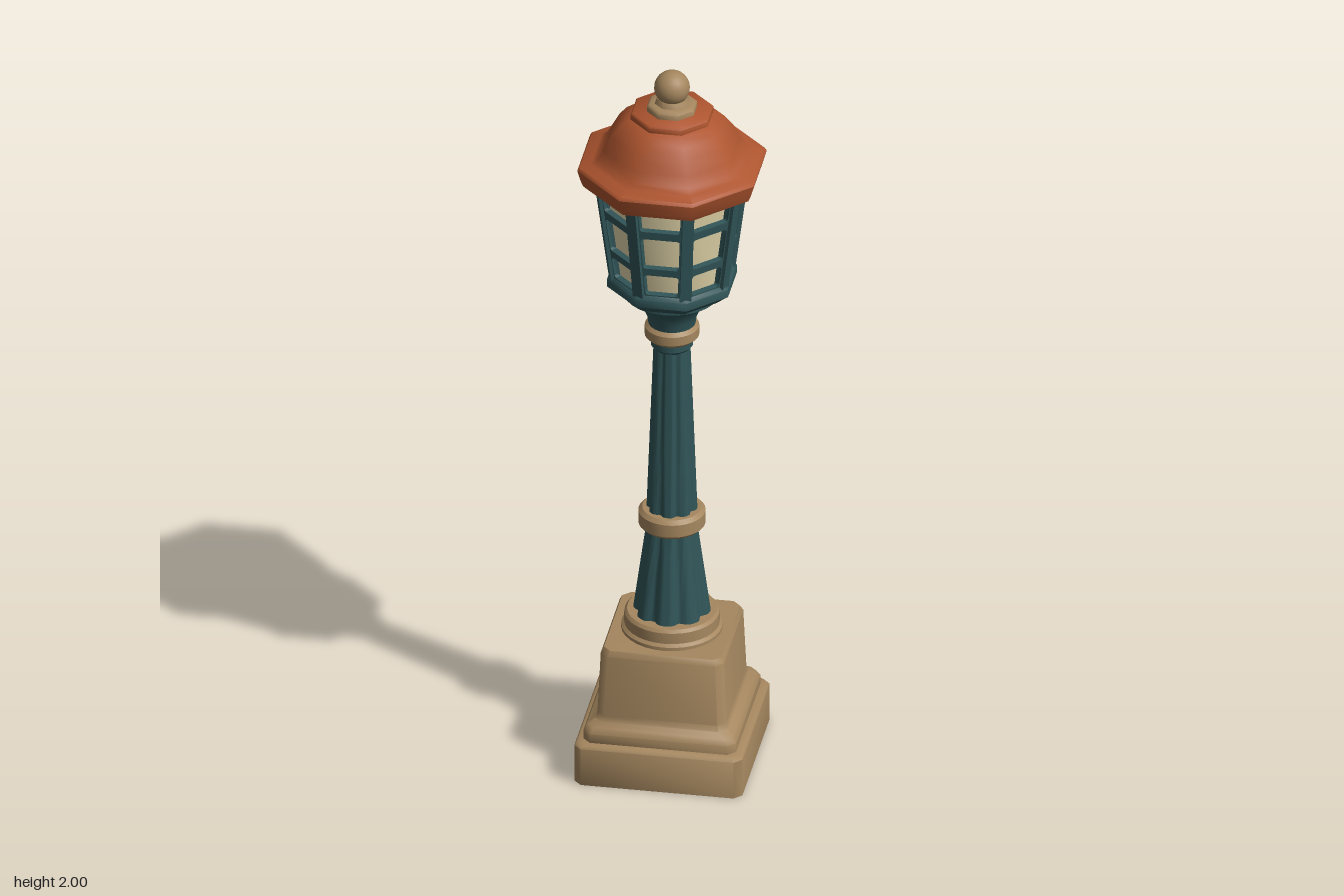
import * as THREE from 'three';
import { toCreasedNormals } from 'three/addons/utils/BufferGeometryUtils.js';

const FLAT = Math.cos(Math.PI / 8); // apothem / radius of an octagon

export function createModel() {
  const model = new THREE.Group();
  model.name = 'streetLamp';
  const mat = (name, color) => {
    const m = new THREE.MeshStandardMaterial({ color });
    m.name = name;
    return m;
  };
  const stone = mat('sandstone', 0xa5875f);
  const iron = mat('darkTealIron', 0x315558);
  const clay = mat('terracottaRoof', 0xae552f);
  const glass = mat('creamGlass', 0xe3d6aa);

  const add = (name, geo, material, parent = model) => {
    const mesh = new THREE.Mesh(geo, material);
    mesh.name = name;
    parent.add(mesh);
    return mesh;
  };
  // Profiles are [radius, y] pairs, from bottom to top
  const points = (profile, k = 1) => profile.map(([r, y]) => new THREE.Vector2(r * k, y));
  const round = (profile) => toCreasedNormals(new THREE.LatheGeometry(points(profile), 32), 0.7);
  const octagon = (profile) =>
    toCreasedNormals(new THREE.LatheGeometry(points(profile, 1 / FLAT), 8, Math.PI / 8), 0.82);

  // Square section with small chamfered corners, made from an octagonal lathe
  const square = (profile, chamfer) => {
    const geo = new THREE.LatheGeometry(points(profile, 1 / FLAT), 8, Math.PI / 8);
    const p = geo.attributes.position;
    for (let i = 0; i < p.count; i++) {
      const x = p.getX(i), z = p.getZ(i);
      const h = Math.max(Math.abs(x), Math.abs(z));
      if (h < 0.01) continue;
      const wide = Math.abs(x) > Math.abs(z);
      p.setX(i, Math.sign(x) * (wide ? h : h - chamfer));
      p.setZ(i, Math.sign(z) * (wide ? h - chamfer : h));
    }
    return toCreasedNormals(geo, 0.82);
  };

  // Tapered column with narrow vertical grooves
  const fluted = (rTop, rBottom, y0, y1) => {
    const geo = new THREE.CylinderGeometry(rTop, rBottom, y1 - y0, 80, 4, true);
    const p = geo.attributes.position;
    for (let i = 0; i < p.count; i++) {
      const a = Math.atan2(p.getX(i), p.getZ(i));
      const k = 1 - 0.14 * Math.pow(Math.abs(Math.cos(4 * a + Math.PI / 2)), 5);
      p.setX(i, p.getX(i) * k);
      p.setZ(i, p.getZ(i) * k);
    }
    geo.translate(0, (y0 + y1) / 2, 0);
    return toCreasedNormals(geo, 0.9);
  };

  // Pedestal
  add('pedestal', square([
    [0, 0], [0.218, 0], [0.218, 0.105], [0.212, 0.112], [0.198, 0.115], [0.198, 0.14],
    [0.19, 0.155], [0.172, 0.165], [0.167, 0.18], [0.16, 0.35], [0.153, 0.365], [0, 0.37],
  ], 0.02), stone);
  add('pedestalCap', round([
    [0.13, 0.36], [0.13, 0.375], [0.122, 0.382], [0.122, 0.412], [0.115, 0.42], [0, 0.42],
  ]), stone);

  // Column and its collars
  add('lowerColumn', fluted(0.064, 0.1, 0.415, 0.68), iron);
  add('upperColumn', fluted(0.047, 0.066, 0.7, 1.21), iron);
  add('columnCap', round([[0.045, 1.19], [0.054, 1.2], [0.054, 1.225]]), iron);
  const collar = (name, r, y0, y1) => add(name, round([
    [0.03, y0], [r - 0.01, y0], [r, y0 + 0.01], [r, y1 - 0.01], [r - 0.01, y1], [0.03, y1],
  ]), stone);
  collar('lowerCollar', 0.086, 0.665, 0.72);
  collar('upperCollar', 0.07, 1.22, 1.265);

  // Flared neck and sill under the lantern
  add('lanternNeck', round([
    [0.06, 1.26], [0.064, 1.285], [0.074, 1.31], [0.092, 1.332], [0.115, 1.345],
    [0.124, 1.352], [0.124, 1.385],
  ]), iron);
  add('lanternSill', octagon([
    [0, 1.36], [0.125, 1.36], [0.147, 1.38], [0.157, 1.388], [0.157, 1.41], [0.148, 1.42], [0, 1.42],
  ]), iron);

  // Glass body, set behind the frames
  const Y0 = 1.41, Y1 = 1.7, A0 = 0.147, A1 = 0.183;
  add('lanternGlass', octagon([[A0 - 0.018, Y0], [A1 - 0.018, Y1]]), glass);

  // One frame: a tapered panel with three round-cornered openings
  const widthAt = (y) => (A0 + (A1 - A0) * (y / (Y1 - Y0))) * Math.tan(Math.PI / 8);
  const panel = new THREE.Shape();
  const H = Y1 - Y0;
  panel.moveTo(-widthAt(0), 0);
  panel.lineTo(widthAt(0), 0);
  panel.lineTo(widthAt(H), H);
  panel.lineTo(-widthAt(H), H);
  panel.closePath();
  for (const [b, t] of [[0.015, 0.077], [0.098, 0.192], [0.215, 0.283]]) {
    const w0 = widthAt(b) - 0.019, w1 = widthAt(t) - 0.019, r = 0.01;
    const hole = new THREE.Path();
    hole.moveTo(-w0 + r, b);
    hole.lineTo(w0 - r, b);
    hole.quadraticCurveTo(w0, b, w0, b + r);
    hole.lineTo(w1, t - r);
    hole.quadraticCurveTo(w1, t, w1 - r, t);
    hole.lineTo(-w1 + r, t);
    hole.quadraticCurveTo(-w1, t, -w1, t - r);
    hole.lineTo(-w0, b + r);
    hole.quadraticCurveTo(-w0, b, -w0 + r, b);
    panel.holes.push(hole);
  }
  const frameGeo = new THREE.ExtrudeGeometry(panel, { depth: 0.016, bevelEnabled: false, curveSegments: 4 });
  const slope = Math.atan2(A1 - A0, H);
  const cornerSlope = Math.atan2((A1 - A0) / FLAT, H);
  const postGeo = new THREE.BoxGeometry(0.03, H / Math.cos(cornerSlope), 0.026);

  for (let i = 0; i < 8; i++) {
    const side = new THREE.Group();
    side.name = 'lanternSide';
    side.rotation.y = (i * Math.PI) / 4;
    model.add(side);
    const frame = add('windowFrame', frameGeo, iron, side);
    frame.position.set(0, Y0, A0 - 0.016);
    frame.rotation.x = slope;
    // Post on the corner between two frames
    const corner = new THREE.Group();
    corner.name = 'lanternCorner';
    corner.rotation.y = Math.PI / 8;
    side.add(corner);
    const post = add('cornerPost', postGeo, iron, corner);
    post.position.set(0, (Y0 + Y1) / 2, (A0 + A1) / 2 / FLAT - 0.01);
    post.rotation.x = cornerSlope;
  }

  // Roof
  add('roof', octagon([
    [0, 1.69], [0.214, 1.69], [0.22, 1.705], [0.229, 1.738], [0.224, 1.746], [0.196, 1.752],
    [0.18, 1.764], [0.166, 1.79], [0.148, 1.825], [0.128, 1.852], [0.108, 1.868],
    [0.1, 1.872], [0.1, 1.886], [0.095, 1.891], [0, 1.893],
  ]), clay);

  // Finial
  add('finialBase', octagon([
    [0.061, 1.888], [0.061, 1.905], [0.055, 1.911], [0.042, 1.912], [0.036, 1.925], [0, 1.925],
  ]), stone);
  const ball = add('finialBall', new THREE.SphereGeometry(0.046, 20, 14), stone);
  ball.position.y = 1.954;

  return model;
}
